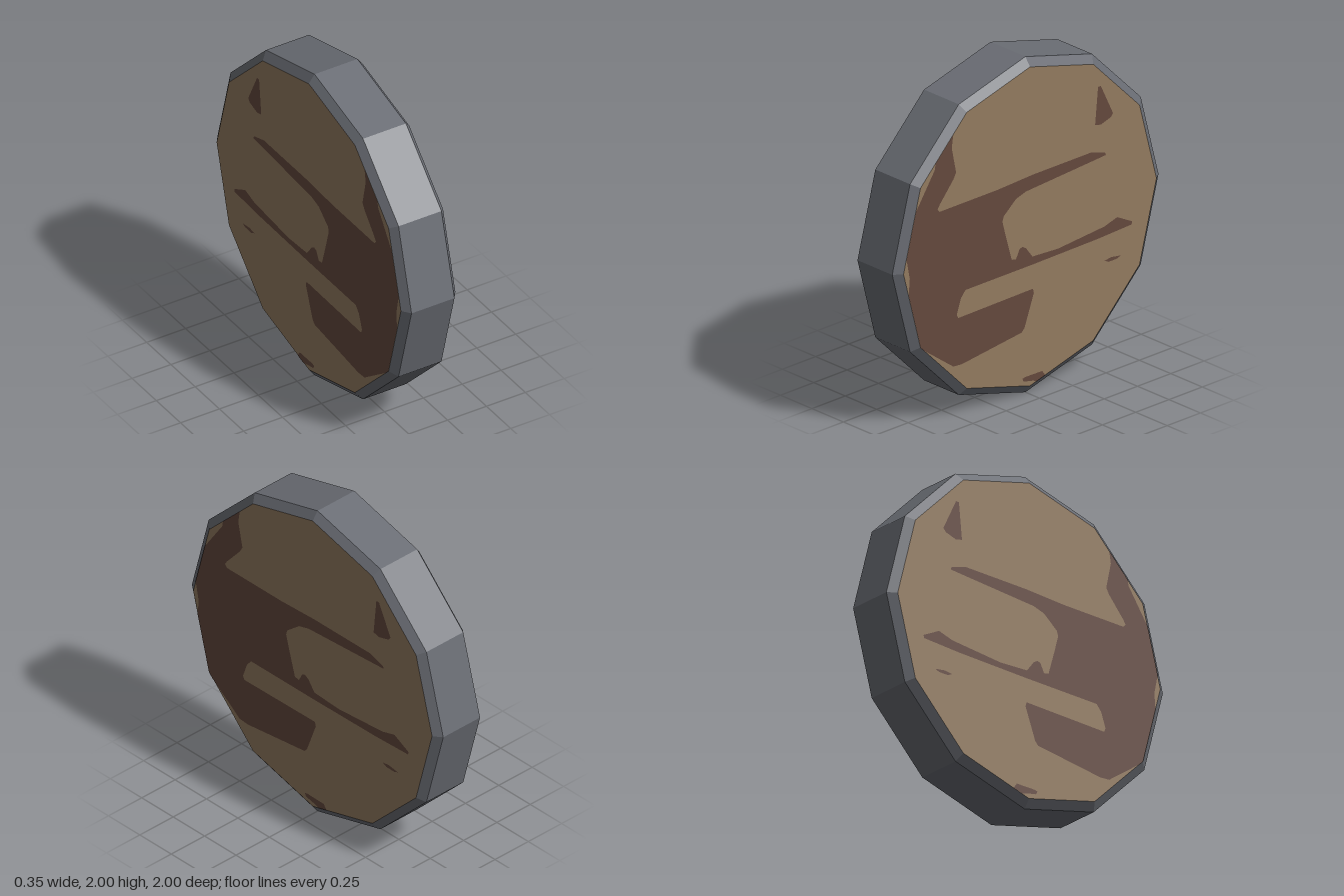
import * as THREE from 'three';

const SIDES = 12, HALF = 0.175, FACE_R = 0.95;

// Stain outlines as [z, y] pairs
const STAINS = {
  mainStain: [
    [.578, 1.719], [.59, 1.645], [.557, 1.49], [.578, 1.453], [.68, 1.335], [.696, 1.31], [.68, 1.292],
    [.246, 1.292], [-.02, 1.303], [-.46, 1.303], [-.562, 1.271], [-.568, 1.255], [-.493, 1.25],
    [.032, 1.218], [.107, 1.196], [.2, 1.12], [.209, 1.09], [.182, .99], [.139, .843], [.107, .837],
    [.08, .89], [.059, .896], [.032, .88], [-.016, .816], [-.21, .805], [-.557, .832], [-.653, .859],
    [-.766, .8], [-.76, .783], [-.503, .773], [-.02, .768], [.487, .768], [.52, .73], [.552, .64],
    [.541, .617], [-.02, .623], [-.027, .596], [.043, .409], [.064, .387], [.514, .334], [.578, .339],
    [.798, .5], [.823, .525], [.913, .864], [.905, .96], [.929, 1.078], [.857, 1.346], [.718, 1.55], [.711, 1.587],
  ],
  upperSpot: [[-.509, 1.678], [-.53, 1.678], [-.621, 1.49], [-.605, 1.469], [-.53, 1.447], [-.487, 1.458]],
  lowerSpot: [[-.557, .628], [-.61, .634], [-.68, .623], [-.653, .612], [-.589, .612]],
  bottomSpot: [[.059, .109], [.04, .114], [-.09, .112], [-.112, .081], [-.05, .064], [-.02, .075], [.05, .09]],
};

export function createModel() {
  const model = new THREE.Group();
  const metal = new THREE.MeshStandardMaterial({ color: 0x6a6d74, flatShading: true });
  metal.name = 'greyMetal';
  const tan = new THREE.MeshStandardMaterial({ color: 0x927a5f });
  tan.name = 'tanWood';
  const brown = new THREE.MeshStandardMaterial({ color: 0x64483d });
  brown.name = 'darkBrown';

  function add(name, geometry, material) {
    const mesh = new THREE.Mesh(geometry, material);
    mesh.name = name;
    model.add(mesh);
    return mesh;
  }

  // Bevelled twelve-sided rim, axis along x
  const profile = [[FACE_R, -HALF], [1, -0.138], [1, 0.138], [FACE_R, HALF]]
    .map(([r, h]) => new THREE.Vector2(r, h));
  const rim = add('rim', new THREE.LatheGeometry(profile, SIDES), metal);
  rim.rotation.z = Math.PI / 2;
  rim.position.y = 1;

  // Mirrored faces with their stains
  for (const [side, label] of [[1, 'left'], [-1, 'right']]) {
    const face = add(label + 'Face', new THREE.CircleGeometry(FACE_R, SIDES), tan);
    face.rotation.y = side * Math.PI / 2;
    face.position.set(side * HALF, 1, 0);

    for (const [name, outline] of Object.entries(STAINS)) {
      const shape = new THREE.Shape(outline.map(([z, y]) => new THREE.Vector2(-side * z, y)));
      const stain = add(label + name[0].toUpperCase() + name.slice(1), new THREE.ShapeGeometry(shape), brown);
      stain.rotation.y = side * Math.PI / 2;
      stain.position.x = side * (HALF + 0.002);
    }
  }
  return model;
}
